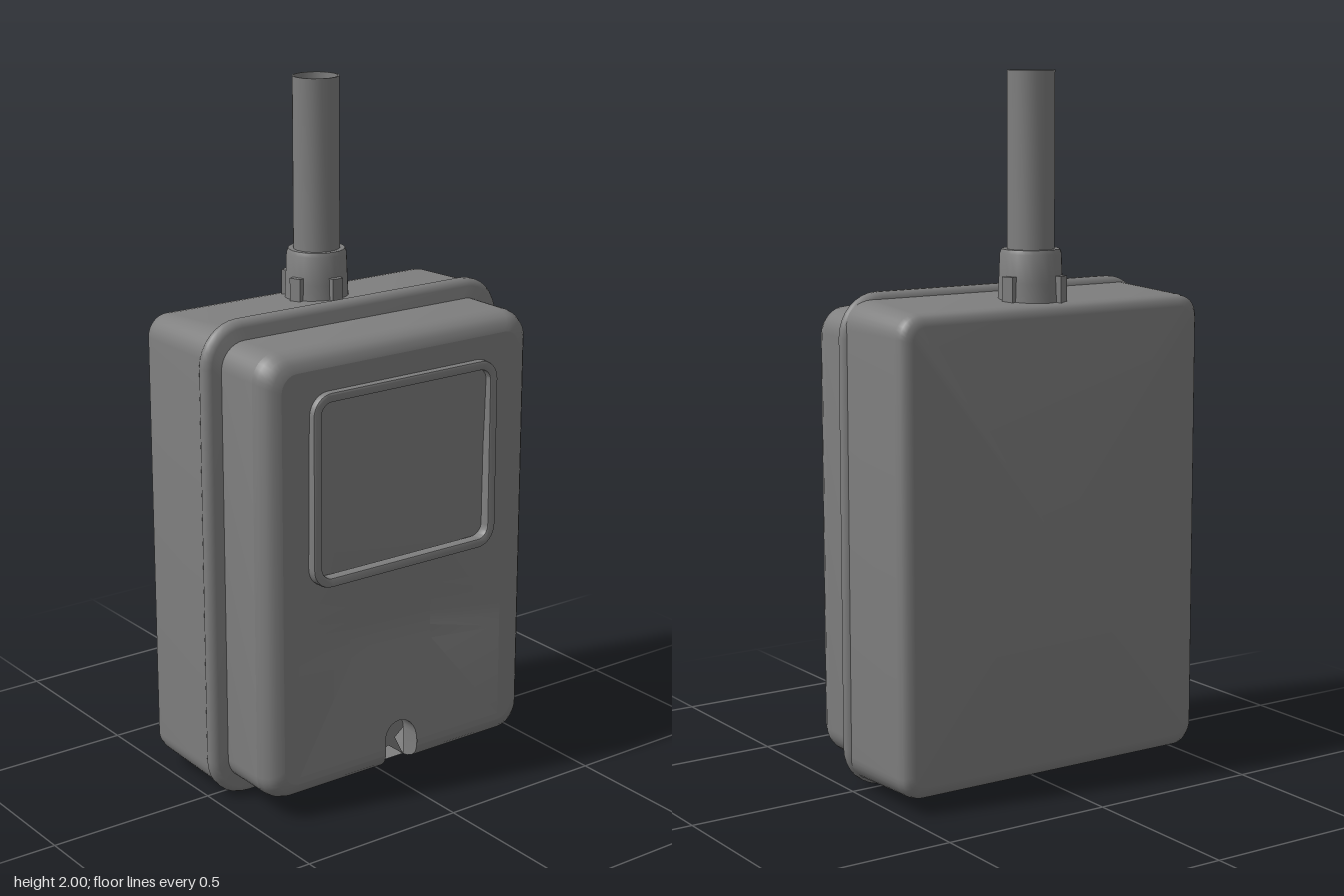
import * as THREE from 'three';
import { toCreasedNormals } from 'three/addons/utils/BufferGeometryUtils.js';

const grey = new THREE.MeshStandardMaterial({ color: 0x7f7f7f });
grey.name = 'grey';
const greyOpen = grey; // one colour throughout
greyOpen.side = THREE.DoubleSide;

// Cable notch at the foot of the cover
const NOTCH = 0.056, ARCH_Y = 0.135;
// Slope of the lower part of the recess
const lowerZ = (y) => 0.26 - Math.max(0, y - 0.12) * 0.05 / 0.28;

// Counter-clockwise rounded rectangle, optionally with the notch in its bottom edge
function outline(hw, y0, y1, r, notch = false) {
  const pts = [], n = 8;
  const corners = [[hw - r, y0 + r, -0.5], [hw - r, y1 - r, 0], [-hw + r, y1 - r, 0.5], [-hw + r, y0 + r, 1]];
  for (const [cx, cy, a] of corners)
    for (let i = 0; i <= n; i++) {
      const t = (a + 0.5 * i / n) * Math.PI;
      pts.push([cx + r * Math.cos(t), cy + r * Math.sin(t)]);
    }
  if (notch) {
    pts.push([-NOTCH, y0]);
    for (let i = 0; i <= 12; i++) {
      const t = Math.PI * (1 - i / 12);
      pts.push([NOTCH * Math.cos(t), ARCH_Y + NOTCH * Math.sin(t)]);
    }
    pts.push([NOTCH, y0]);
  }
  return pts;
}

// Skin through rings given as [halfWidth, bottom, top, z, cornerRadius], back to front
function loft(rings, { notch = false, backCap = false, frontCap = false, crease = 0.6 } = {}) {
  const pos = [], idx = [];
  let n = 0;
  rings.forEach(([hw, y0, y1, z, r]) => {
    const pts = outline(hw, y0, y1, r, notch);
    n = pts.length;
    pts.forEach(([x, y], i) => pos.push(x, y, notch && i >= 36 ? Math.min(z, lowerZ(y)) : z));
  });
  for (let k = 0; k < rings.length - 1; k++)
    for (let i = 0; i < n; i++) {
      const a = k * n + i, b = k * n + (i + 1) % n;
      idx.push(a, b, b + n, a, b + n, a + n);
    }
  const cap = (k, flip) => {
    const c = pos.length / 3;
    pos.push(0, (rings[k][1] + rings[k][2]) / 2, rings[k][3]);
    for (let i = 0; i < n; i++) {
      const a = k * n + i, b = k * n + (i + 1) % n;
      idx.push(c, flip ? b : a, flip ? a : b);
    }
  };
  if (backCap) cap(0, true);
  if (frontCap) cap(rings.length - 1, false);
  return fromArrays(pos, idx, crease);
}

function fromArrays(pos, idx, crease) {
  const g = new THREE.BufferGeometry();
  g.setAttribute('position', new THREE.Float32BufferAttribute(pos, 3));
  g.setIndex(idx);
  return toCreasedNormals(g, crease);
}

const toShape = (pts) => new THREE.Shape(pts.map(([x, y]) => new THREE.Vector2(x, y)));

export function createModel() {
  const group = new THREE.Group();
  const add = (name, geo, parent = group) => {
    const m = new THREE.Mesh(geo, grey);
    m.name = name;
    parent.add(m);
    return m;
  };

  // Rear housing, tapering slightly to the back
  add('rearHousing', loft([
    [0.465, 0.075, 1.335, -0.28, 0.04], [0.485, 0.053, 1.354, -0.275, 0.055],
    [0.496, 0.042, 1.364, -0.262, 0.06], [0.5, 0.037, 1.368, -0.24, 0.065],
    [0.5, 0.02, 1.382, 0.02, 0.08],
  ], { backCap: true, crease: 0.7 }));

  // Rounded rim between the two halves
  add('rim', loft([
    [0.49, 0.02, 1.38, 0, 0.1], [0.503, 0.006, 1.393, 0.006, 0.115], [0.51, 0, 1.4, 0.018, 0.12],
    [0.51, 0, 1.4, 0.032, 0.12], [0.503, 0.006, 1.393, 0.044, 0.115], [0.49, 0.02, 1.38, 0.05, 0.1],
  ], { backCap: true, frontCap: true, crease: 0.8 }));

  // Front cover: plain rear band, notched front band with rounded edge
  const cover = new THREE.Group();
  cover.name = 'frontCover';
  group.add(cover);
  const ring = (inset, z) => [0.46 - inset, 0.05 + inset, 1.345 - inset, z, 0.075 - inset * 0.5];
  add('coverSides', loft([ring(0, 0.04), ring(0, 0.195)]), cover);
  const edge = [[0, 0.195], [0.003, 0.215], [0.012, 0.237], [0.028, 0.253], [0.05, 0.26]].map(([i, z]) => ring(i, z));
  add('coverEdge', loft(edge, { notch: true, crease: 0.7 }), cover);
  const back = [[NOTCH, 0.05], ...outline(0.1, 0, 1, 0.1, true).slice(37, 50), [-NOTCH, 0.05]];
  add('notchBack', new THREE.ShapeGeometry(toShape(back)).translate(0, 0, 0.196), cover);

  // Flat face around the recess, one half at a time
  const [hw, y0, y1, , r] = edge[4];
  const half = outline(hw, y0, y1, r).slice(0, 18);
  for (const s of [1, -1]) {
    const pts = [[NOTCH, y0], ...half, [0, y1], [0, 1.17], [0.36, 1.17], [0.36, 0.12], [NOTCH, 0.12]];
    add('coverFace', new THREE.ShapeGeometry(toShape(pts.map(([x, y]) => [s * x, y]))).translate(0, 0, 0.26), cover);
  }

  // Recess rows: height, half width of floor, depth
  const rows = [[1.17, 0.359, 0.26], [1.05, 0.32, 0.256], [0.92, 0.277, 0.25], [0.8, 0.238, 0.242],
    [0.65, 0.188, 0.228], [0.57, 0.162, 0.217], [0.52, 0.145, 0.208], [0.48, 0.145, 0.204],
    [0.44, 0.145, 0.205], [0.4, 0.145, 0.21], [0.12, 0.359, 0.26]];
  const pos = [], idx = [];
  rows.forEach(([y, w, z]) => pos.push(-0.36, y, 0.26, -w, y, z, w, y, z, 0.36, y, 0.26));
  for (let k = 0; k < rows.length - 1; k++)
    for (let c = 0; c < 3; c++) {
      if (c === 1 && k === rows.length - 2) continue; // notched panel is separate
      const a = k * 4 + c;
      idx.push(a, a + 4, a + 5, a, a + 5, a + 1);
    }
  add('recess', fromArrays(pos, idx, 0.25), cover);

  // Lower sloping panel, cut by the notch arch
  const arch = [];
  for (let i = 0; i <= 12; i++) {
    const t = Math.PI * (1 - i / 12);
    arch.push([NOTCH * Math.cos(t), ARCH_Y + NOTCH * Math.sin(t)]);
  }
  const lower = new THREE.ShapeGeometry(toShape([
    [-0.36, 0.12], [-NOTCH, 0.12], ...arch, [NOTCH, 0.12], [0.36, 0.12], [0.145, 0.4], [-0.145, 0.4]]));
  const lp = lower.attributes.position;
  for (let i = 0; i < lp.count; i++) lp.setZ(i, lowerZ(lp.getY(i)));
  lower.computeVertexNormals();
  add('recessLowerPanel', lower, cover);

  // Raised window frame
  const frame = toShape(outline(0.314, 0.678, 1.224, 0.055));
  frame.holes.push(new THREE.Path(outline(0.298, 0.694, 1.208, 0.04).map(([x, y]) => new THREE.Vector2(x, y))));
  add('windowFrame', toCreasedNormals(new THREE.ExtrudeGeometry(frame, {
    depth: 0.022, bevelThickness: 0.007, bevelSize: 0.006, bevelSegments: 2,
  }).translate(0, 0, 0.251), 0.7));

  // Conduit and its collar on top
  const conduit = new THREE.Group();
  conduit.name = 'conduit';
  conduit.position.z = -0.15;
  group.add(conduit);
  const lathe = (pts, seg) => toCreasedNormals(new THREE.LatheGeometry(pts.map(([x, y]) => new THREE.Vector2(x, y)), seg), 0.6);
  add('pipe', lathe([[0.067, 1.4], [0.067, 2], [0.062, 2], [0.062, 1.4]], 16), conduit);
  add('collar', lathe([[0.092, 1.36], [0.089, 1.42], [0.086, 1.5], [0.081, 1.512], [0.066, 1.512]], 24), conduit);
  for (const deg of [0, -72, 107, -152]) {
    const a = deg * Math.PI / 180;
    const lug = add('collarLug', new THREE.BoxGeometry(0.036, 0.08, 0.025), conduit);
    lug.position.set(0.091 * Math.sin(a), 1.4, 0.091 * Math.cos(a));
    lug.rotation.y = a;
  }
  return group;
}
